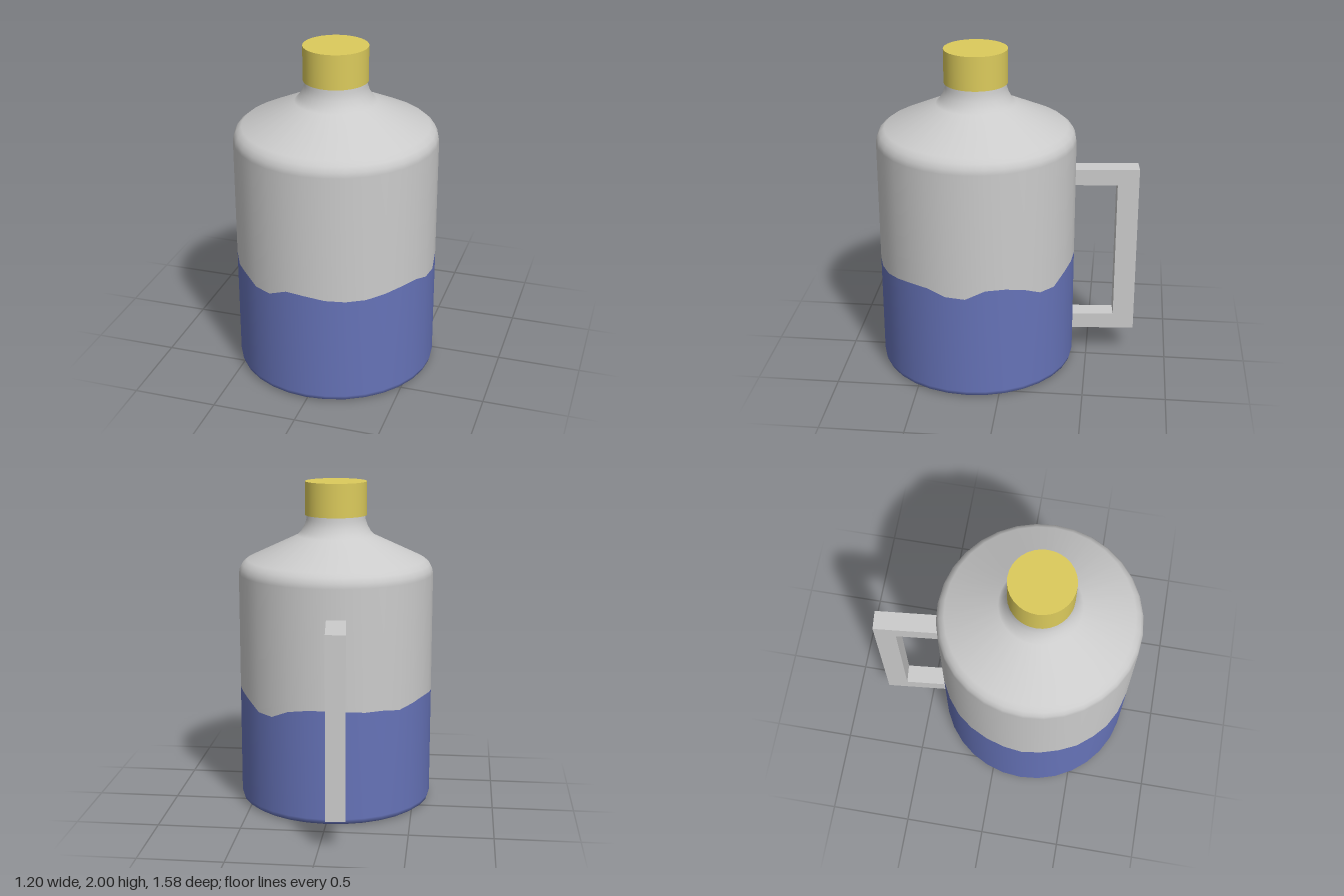
import * as THREE from 'three';

const SIDES = 32;
const AXIS_Z = 0.19;

// Height of the wavy colour border at each side of the jug
const WAVE = [
  0.70, 0.683, 0.675, 0.677, 0.692, 0.705, 0.705, 0.67,
  0.665, 0.72, 0.72, 0.695, 0.645, 0.64, 0.69, 0.71,
  0.715, 0.71, 0.70, 0.70, 0.685, 0.705, 0.72, 0.715,
  0.70, 0.715, 0.715, 0.69, 0.69, 0.655, 0.655, 0.705,
];

const material = (color) => new THREE.MeshStandardMaterial({ color, side: THREE.DoubleSide });

function addMesh(group, name, geometry, mat) {
  const mesh = new THREE.Mesh(geometry, mat);
  mesh.name = name;
  group.add(mesh);
  return mesh;
}

// Lathe whose ring number `row` follows the wavy border
function wavyLathe(profile, row) {
  const geometry = new THREE.LatheGeometry(profile.map(([r, y]) => new THREE.Vector2(r, y)), SIDES);
  const pos = geometry.attributes.position;
  for (let k = 0; k <= SIDES; k++) pos.setY(k * profile.length + row, WAVE[k % SIDES]);
  return geometry;
}

export function createModel() {
  const model = new THREE.Group();
  model.name = 'jug';
  const grey = material(0xcccccc);

  // Lower, coloured half with a rounded foot
  const base = [[0, 0], [0.55, 0], [0.575, 0.003], [0.593, 0.015], [0.6, 0.04], [0.6, 0.7]];
  addMesh(model, 'lowerBody', wavyLathe(base, base.length - 1), material(0x6673b8)).position.z = AXIS_Z;

  // Upper half: wall, rounded shoulder, cone and flared neck
  const upper = [
    [0.6, 0.7], [0.6, 1.44], [0.595, 1.47], [0.58, 1.5], [0.55, 1.525],
    [0.24, 1.67], [0.215, 1.695], [0.195, 1.73], [0.182, 1.77], [0.18, 1.82],
  ];
  addMesh(model, 'upperBody', wavyLathe(upper, 0), grey).position.z = AXIS_Z;

  // Screw cap
  const cap = addMesh(model, 'cap', new THREE.CylinderGeometry(0.19, 0.19, 0.205, SIDES), material(0xdccb5c));
  cap.position.set(0, 1.8975, AXIS_Z);

  // Square handle, set slightly askew at the back
  const outline = [
    [-0.02, 0.18], [0.4, 0.18], [0.4, 1.26], [-0.02, 1.26],
    [-0.02, 1.16], [0.27, 1.16], [0.27, 0.28], [-0.02, 0.28],
  ];
  const width = 0.115;
  const handleGeometry = new THREE.ExtrudeGeometry(
    new THREE.Shape(outline.map(([x, y]) => new THREE.Vector2(x, y))),
    { depth: width, bevelEnabled: false },
  );
  handleGeometry.translate(0, 0, -width / 2);
  const handle = addMesh(model, 'handle', handleGeometry, grey);
  handle.position.set(-0.06, 0, -0.39);
  handle.rotation.y = THREE.MathUtils.degToRad(95.5);

  return model;
}
